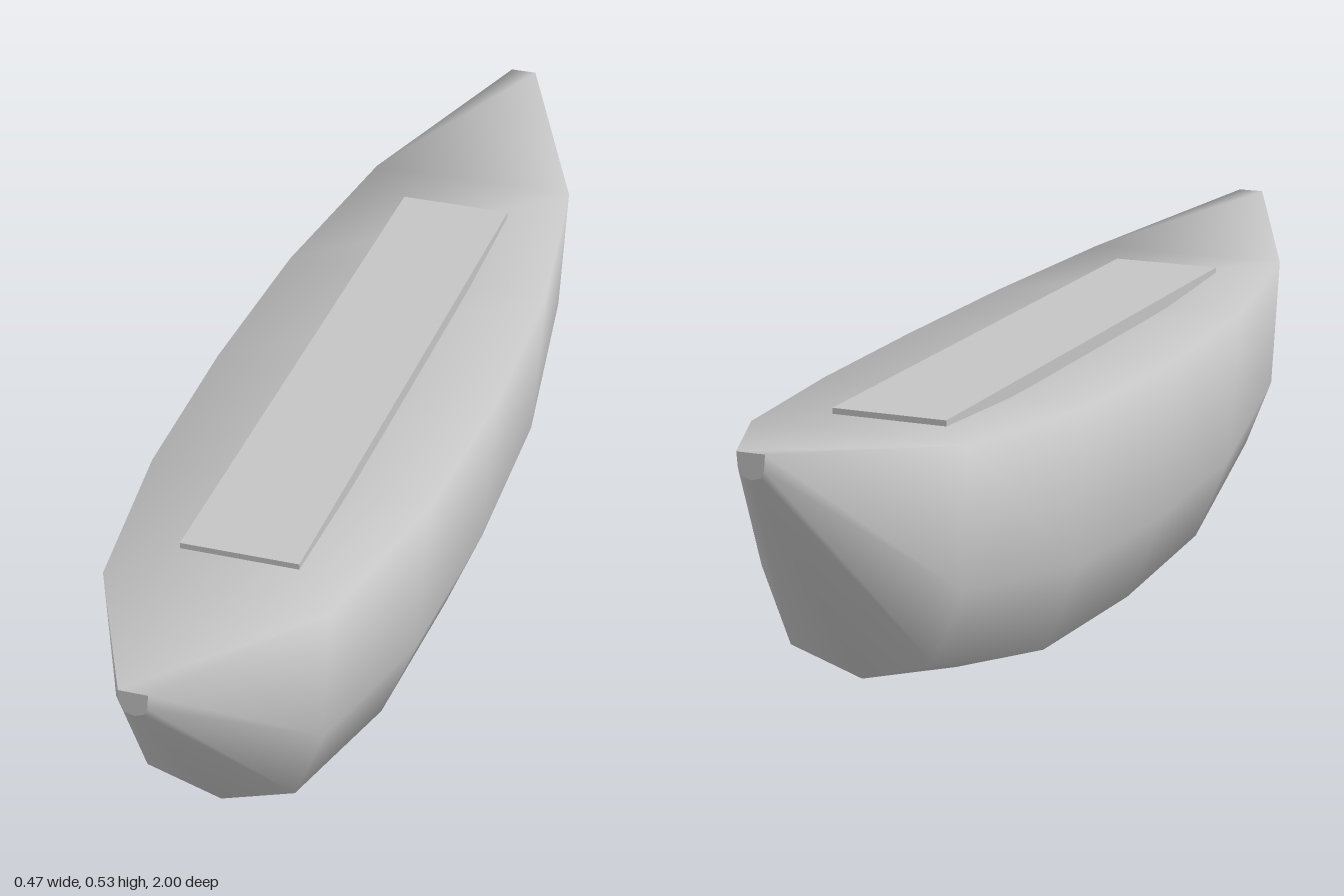
import * as THREE from 'three';

// Half cross-sections by distance from the middle: keel, chine, bilge, gunwale
const SECTIONS = [
  { z: 0, half: [[0, 0], [0.155, 0.05], [0.215, 0.195], [0.235, 0.454]] },
  { z: 0.333, half: [[0, 0.013], [0.148, 0.061], [0.206, 0.202], [0.224, 0.458]] },
  { z: 0.667, half: [[0, 0.1], [0.117, 0.138], [0.163, 0.255], [0.175, 0.475]] },
  { z: 1, half: [[0, 0.491], [0.015, 0.496], [0.02, 0.507], [0.022, 0.53]] },
];

// Full ring, counter-clockwise seen from the front
const ring = (half) => [...half, ...half.slice(1).reverse().map(([x, y]) => [-x, y])];

function hullGeometry() {
  const back = SECTIONS.slice(1).reverse().map((s) => ({ z: -s.z, half: s.half }));
  const stations = [...back, ...SECTIONS];
  const positions = [];
  const index = [];
  const n = 7;
  stations.forEach(({ z, half }, i) => {
    ring(half).forEach(([x, y]) => positions.push(x, y, z));
    if (i === 0) return;
    for (let j = 0; j < n; j++) {
      const k = (j + 1) % n;
      const a = (i - 1) * n + j, b = (i - 1) * n + k;
      const c = i * n + k, d = i * n + j;
      index.push(a, b, c, a, c, d);
    }
  });
  const geometry = new THREE.BufferGeometry();
  geometry.setAttribute('position', new THREE.Float32BufferAttribute(positions, 3));
  geometry.setIndex(index);
  geometry.computeVertexNormals();
  return geometry;
}

export function createModel() {
  const model = new THREE.Group();
  model.name = 'boat';
  const grey = new THREE.MeshStandardMaterial({ color: 0xc4c4c4 });
  grey.name = 'light grey';

  const add = (name, geometry) => {
    const mesh = new THREE.Mesh(geometry, grey);
    mesh.name = name;
    model.add(mesh);
    return mesh;
  };

  // Smooth hull with its closed deck
  add('hull', hullGeometry());

  // Flat faces closing the bow and stern tips
  const tip = new THREE.Shape(ring(SECTIONS[3].half).map(([x, y]) => new THREE.Vector2(x, y)));
  add('bowTip', new THREE.ShapeGeometry(tip)).position.z = 1;
  const stern = add('sternTip', new THREE.ShapeGeometry(tip));
  stern.position.z = -1;
  stern.rotation.y = Math.PI;

  // Long plank lying on the deck
  add('deckPlank', new THREE.BoxGeometry(0.186, 0.022, 1.13)).position.y = 0.468;

  return model;
}
